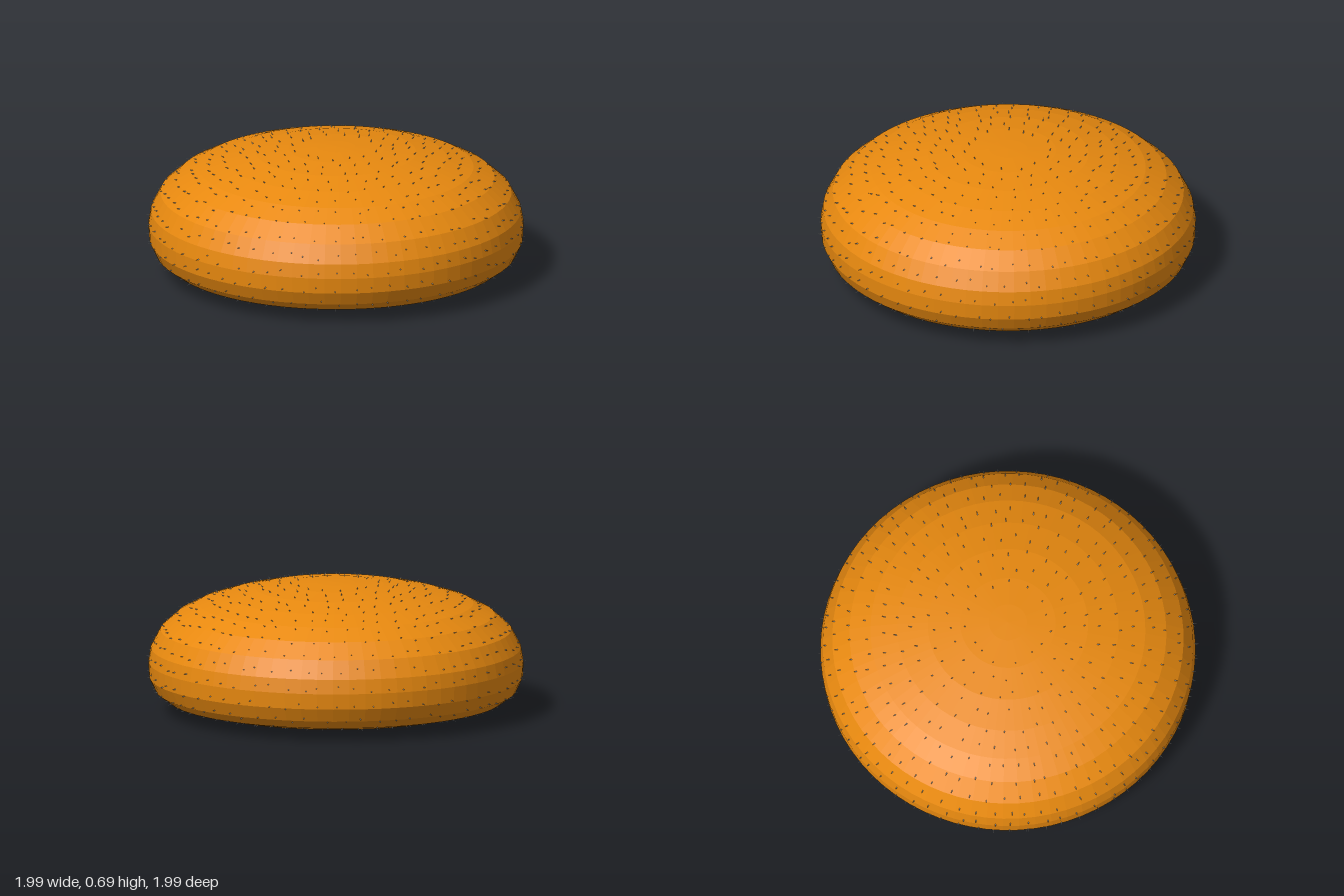
import * as THREE from 'three';
import { mergeGeometries } from 'three/addons/utils/BufferGeometryUtils.js';

// Half cross-section (radius, height), from the underside to the crown
const PROFILE = [
  [0, 0.008], [0.25, 0.01], [0.52, 0.015], [0.75, 0.03], [0.88, 0.06], [0.945, 0.108],
  [0.978, 0.178], [0.983, 0.26], [0.97, 0.335], [0.92, 0.43], [0.83, 0.51],
  [0.72, 0.567], [0.58, 0.612], [0.42, 0.648], [0.25, 0.669], [0.1, 0.678], [0, 0.68],
].map(([r, y]) => new THREE.Vector2(r, y));

function seededRandom(seed) {
  return () => {
    seed = (seed * 16807) % 2147483647;
    return seed / 2147483647;
  };
}

// Position on the profile at a given distance along it
function profileAt(distance) {
  for (let i = 1; i < PROFILE.length; i++) {
    const length = PROFILE[i].distanceTo(PROFILE[i - 1]);
    if (distance <= length) return PROFILE[i - 1].clone().lerp(PROFILE[i], distance / length);
    distance -= length;
  }
  return PROFILE[PROFILE.length - 1].clone();
}

function createBristles() {
  const random = seededRandom(71);
  const spacing = 0.092;
  const up = new THREE.Vector3(0, 1, 0);
  const turn = new THREE.Quaternion();
  const one = new THREE.Vector3(1, 1, 1);
  const bristle = new THREE.ConeGeometry(0.0055, 0.036, 5);
  const pieces = [];
  let total = 0;
  for (let i = 1; i < PROFILE.length; i++) total += PROFILE[i].distanceTo(PROFILE[i - 1]);

  // Rings of bristles, each leaning outward from the middle of the cushion
  for (let ring = 0.23; ring < total - 0.18; ring += spacing) {
    const radius = profileAt(ring).x;
    const count = Math.round((2 * Math.PI * radius) / spacing);
    for (let i = 0; i < count; i++) {
      const p = profileAt(ring + (random() - 0.5) * 0.04);
      const angle = ((i + (random() - 0.5) * 0.5) / count) * Math.PI * 2;
      const position = new THREE.Vector3(p.x * Math.sin(angle), p.y, p.x * Math.cos(angle));
      const direction = new THREE.Vector3(position.x, (p.y - 0.27) * 1.2, position.z).normalize();
      turn.setFromUnitVectors(up, direction);
      pieces.push(bristle.clone().applyMatrix4(new THREE.Matrix4().compose(position, turn, one)));
    }
  }
  return mergeGeometries(pieces);
}

export function createModel() {
  const model = new THREE.Group();
  model.name = 'bristlyCushion';

  // Flattened round body with faceted bands
  const body = new THREE.Mesh(
    new THREE.LatheGeometry(PROFILE, 72),
    new THREE.MeshStandardMaterial({ color: 0xe8890f, flatShading: true }),
  );
  body.name = 'body';

  // Short bristles over the whole skin
  const bristles = new THREE.Mesh(
    createBristles(),
    new THREE.MeshStandardMaterial({ color: 0xcccccc }),
  );
  bristles.name = 'bristles';

  model.add(body, bristles);
  return model;
}
